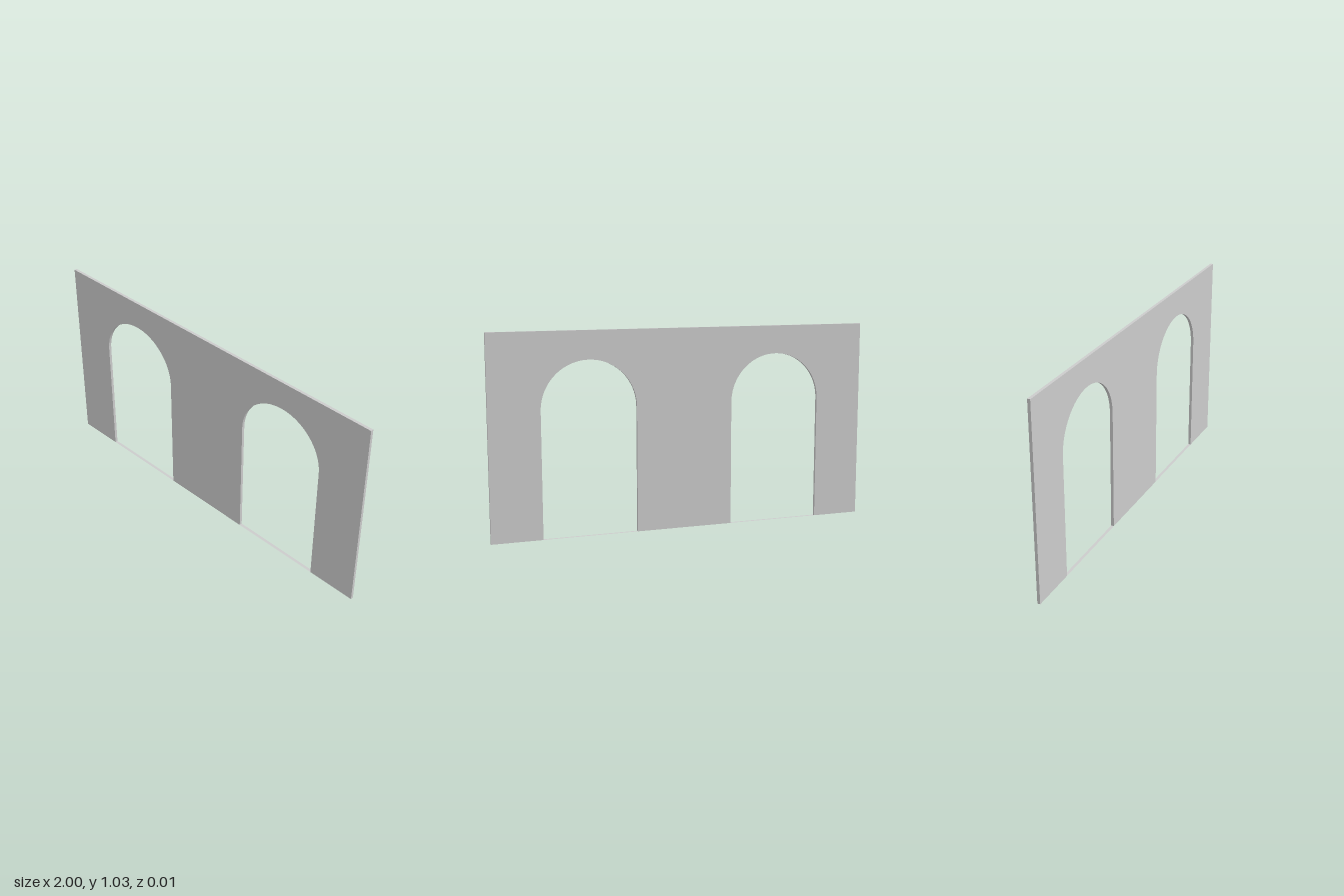
import * as THREE from 'three';

const HALF_WIDTH = 1, HEIGHT = 1.035, DEPTH = 0.015;
const SPRING = 0.645, RADIUS = 0.245;   // where the arches begin, and their radius
const CENTRES = [0.495, -0.505];        // middle of each opening

export function createModel() {
  const group = new THREE.Group();
  group.name = 'archedWall';
  const material = new THREE.MeshStandardMaterial({ color: 0xcccccc, side: THREE.DoubleSide });

  // Wall slab: one outline that runs up and over each round-headed opening
  const outline = new THREE.Shape();
  outline.moveTo(-HALF_WIDTH, 0);
  outline.lineTo(-HALF_WIDTH, HEIGHT);
  outline.lineTo(HALF_WIDTH, HEIGHT);
  outline.lineTo(HALF_WIDTH, 0);
  for (const x of CENTRES) {
    outline.lineTo(x + RADIUS, 0);
    outline.lineTo(x + RADIUS, SPRING);
    outline.absarc(x, SPRING, RADIUS, 0, Math.PI, false);
    outline.lineTo(x - RADIUS, 0);
  }
  outline.closePath();
  const slab = new THREE.ExtrudeGeometry(outline, { depth: DEPTH, bevelEnabled: false, curveSegments: 20 });
  slab.translate(0, 0, -DEPTH / 2);
  const wall = new THREE.Mesh(slab, material);
  wall.name = 'wall';
  group.add(wall);

  // Flat threshold across the foot of each opening
  for (const x of CENTRES) {
    const strip = new THREE.PlaneGeometry(2 * RADIUS, DEPTH).rotateX(-Math.PI / 2);
    const threshold = new THREE.Mesh(strip, material);
    threshold.name = x > 0 ? 'leftThreshold' : 'rightThreshold';
    threshold.position.x = x;
    group.add(threshold);
  }
  return group;
}
